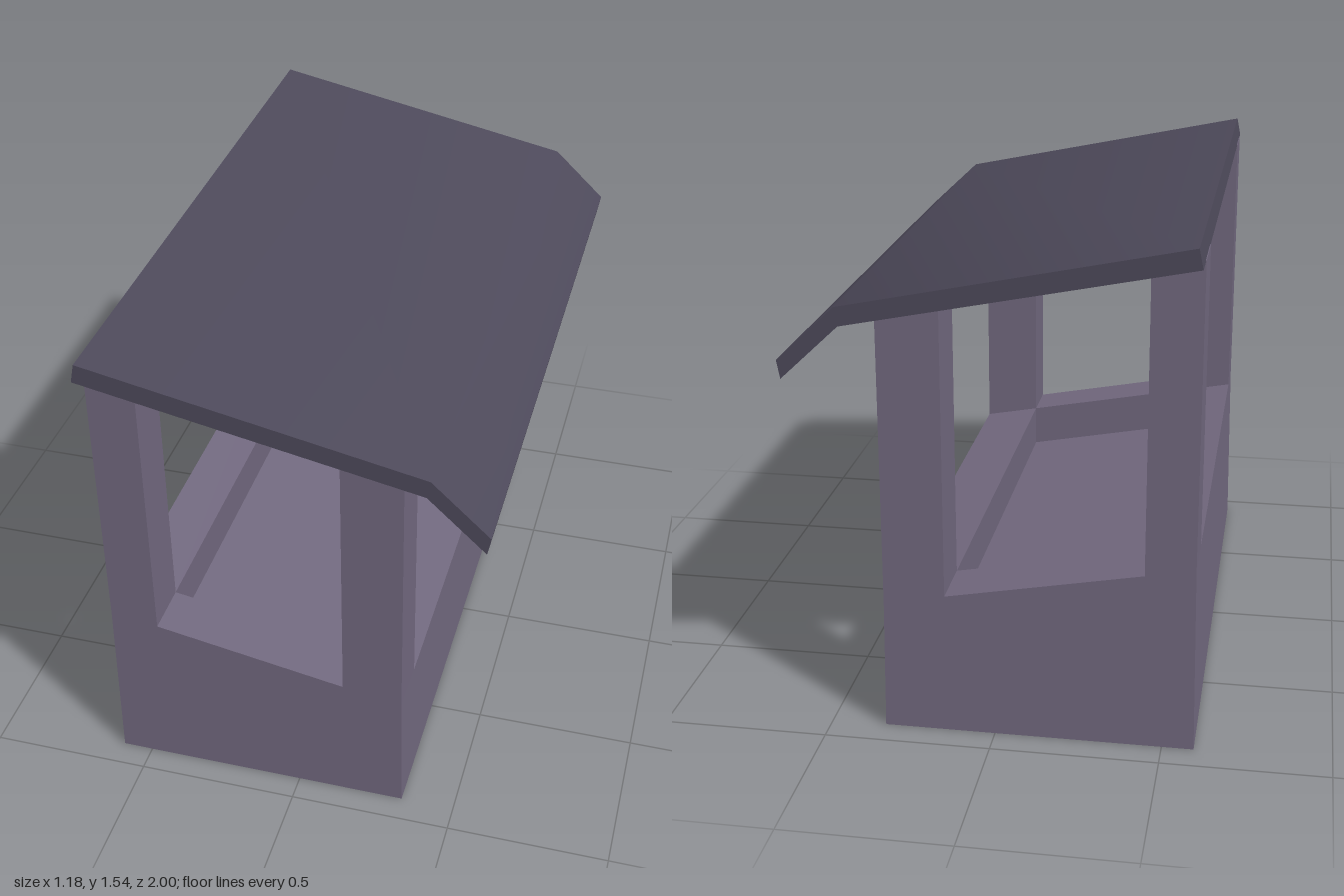
import * as THREE from 'three';
import { toCreasedNormals } from 'three/addons/utils/BufferGeometryUtils.js';

const wallMat = new THREE.MeshStandardMaterial({ color: 0x71687e });
const roofMat = new THREE.MeshStandardMaterial({ color: 0x4d495a });

// Sloped heights across the stall
const rimY = (x) => 0.468 - 0.186 * x;
const floorY = (x) => rimY(x) - 0.14;
const eaveY = (x) => 1.365 - 0.203 * x;

// Four-corner ring, anticlockwise from above, height given by a function of x
function ring(x0, x1, z0, z1, y) {
  return [[x0, z0], [x0, z1], [x1, z1], [x1, z0]].map(([x, z]) => [x, y(x), z]);
}

// Skin a stack of rings and cap the first and last
function loft(rings) {
  const pos = [];
  const quad = (a, b, c, d) => pos.push(...a, ...b, ...c, ...a, ...c, ...d);
  for (let r = 0; r + 1 < rings.length; r++) {
    for (let i = 0; i < 4; i++) {
      const j = (i + 1) % 4;
      quad(rings[r][i], rings[r][j], rings[r + 1][j], rings[r + 1][i]);
    }
  }
  quad(...[...rings[0]].reverse());
  quad(...rings[rings.length - 1]);
  const geo = new THREE.BufferGeometry();
  geo.setAttribute('position', new THREE.Float32BufferAttribute(pos, 3));
  geo.computeVertexNormals();
  return geo;
}

export function createModel() {
  const model = new THREE.Group();
  const add = (name, geo, mat) => {
    const mesh = new THREE.Mesh(geo, mat);
    mesh.name = name;
    model.add(mesh);
  };

  // Outer and inner limits of the walls
  const xs = [-0.587, -0.44, 0.147, 0.33];
  const zs = [-0.91, -0.73, 0.757, 0.92];

  // Tapered base with a sloping rim and a recessed counter
  add('base', loft([
    ring(-0.595, 0.335, zs[0], zs[3], () => 0),
    ring(xs[0], xs[3], zs[0], zs[3], rimY),
    ring(xs[1], xs[2], zs[1], zs[2], rimY),
    ring(xs[1], xs[2], zs[1], zs[2], floorY),
  ]), wallMat);

  // Corner posts, cut to the slope of the rim and the roof
  for (const i of [0, 2]) {
    for (const k of [0, 2]) {
      const box = [xs[i], xs[i + 1], zs[k], zs[k + 1]];
      const name = (k ? 'front' : 'back') + (i ? 'Left' : 'Right') + 'Post';
      add(name, loft([ring(...box, rimY), ring(...box, eaveY)]), wallMat);
    }
  }

  // Bent roof slab running the full length
  const profile = new THREE.Shape([
    [-0.585, 1.48], [0.41, 1.28], [0.58, 1.12],
    [0.59, 1.175], [0.42, 1.335], [-0.573, 1.538],
  ].map(([x, y]) => new THREE.Vector2(x, y)));
  const roof = new THREE.ExtrudeGeometry(profile, { depth: 2, bevelEnabled: false });
  roof.translate(0, 0, -1);
  add('roof', toCreasedNormals(roof, 0.7), roofMat);

  return model;
}
